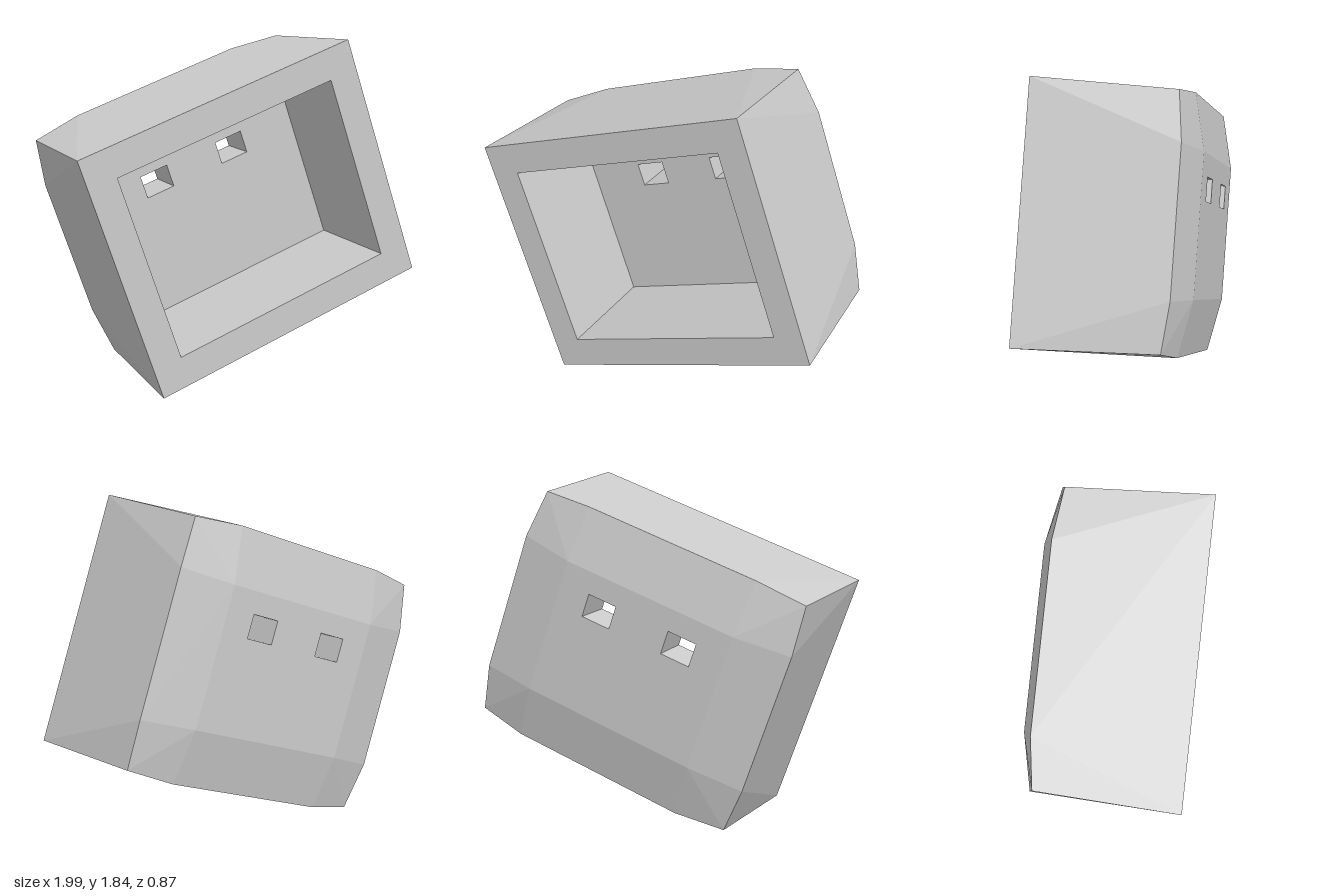
import * as THREE from 'three';

const FRONT = 0.435, FLOOR = -0.2, BACK = -0.435;
const material = new THREE.MeshStandardMaterial({ color: 0xcccccc, flatShading: true });

// corner signs, counter-clockwise seen from the front
const SIGNS = [[1, 1], [-1, 1], [-1, -1], [1, -1]];
const rect = (w, h, cx = 0, cy = 0) => SIGNS.map(([x, y]) => [cx + x * w, cy + y * h]);

// half sizes
const OUTER = rect(0.815, 0.692);
const OPENING = rect(0.65, 0.524);
const PLATEAU = rect(0.502, 0.384);
const HOLES = [-0.244, 0.244].map((x) => rect(0.084, 0.065, x, 0.2));

function addMesh(group, name, geometry) {
  const mesh = new THREE.Mesh(geometry, material);
  mesh.name = name;
  group.add(mesh);
}

// flat faces from convex polygons
function faces(polygons) {
  const pos = [];
  for (const p of polygons) {
    for (let i = 1; i < p.length - 1; i++) pos.push(...p[0], ...p[i], ...p[i + 1]);
  }
  const g = new THREE.BufferGeometry();
  g.setAttribute('position', new THREE.Float32BufferAttribute(pos, 3));
  g.computeVertexNormals();
  return g;
}

// flat panel with rectangular holes, facing front or back
function panel(outline, holes, z, facesBack = false) {
  const toPoints = (r) => r.map(([x, y]) => new THREE.Vector2(x, y));
  const shape = new THREE.Shape(toPoints(outline));
  shape.holes = holes.map((h) => new THREE.Path(toPoints(h)));
  const g = new THREE.ShapeGeometry(shape);
  if (facesBack) g.rotateY(Math.PI);
  return g.translate(0, 0, z);
}

// inward-facing walls of a rectangular recess
function recess(r, z0, z1) {
  return faces(r.map((a, i) => {
    const b = r[(i + 1) % 4];
    return [[...a, z0], [...b, z0], [...b, z1], [...a, z1]];
  }));
}

export function createModel() {
  const model = new THREE.Group();
  const housing = new THREE.Group();
  housing.name = 'housing';
  housing.rotation.z = 0.3337;
  housing.position.y = 0.922;
  model.add(housing);

  // outer walls and bevelled back, one side at a time
  const walls = [], bevels = [];
  const front = (i) => [...OUTER[i], FRONT];
  const corner = (i) => [OUTER[i][0] * 0.957, OUTER[i][1] * 0.957, -0.335];
  const inner = (i) => [...PLATEAU[i], BACK];
  for (let i = 0; i < 4; i++) {
    const j = (i + 1) % 4;
    const edge = (k) => (i % 2 === 0
      ? [PLATEAU[k][0], OUTER[k][1] * 0.994, -0.37]
      : [OUTER[k][0] * 0.994, PLATEAU[k][1] * 1.03, -0.37]);
    const a = edge(i), b = edge(j);
    walls.push([front(i), corner(i), a], [front(i), a, b, front(j)], [b, corner(j), front(j)]);
    bevels.push([corner(i), inner(i), a], [a, inner(i), inner(j), b], [b, inner(j), corner(j)]);
  }
  addMesh(housing, 'outerWalls', faces(walls));
  addMesh(housing, 'backBevel', faces(bevels));

  // front rim, back panel and open compartment
  addMesh(housing, 'frontRim', panel(OUTER, [OPENING], FRONT));
  addMesh(housing, 'backPanel', panel(PLATEAU, HOLES, BACK, true));
  addMesh(housing, 'compartmentWalls', recess(OPENING, FRONT, FLOOR));
  addMesh(housing, 'compartmentFloor', panel(OPENING, HOLES, FLOOR));

  // square through-holes
  for (const hole of HOLES) addMesh(housing, 'throughHole', recess(hole, FLOOR, BACK));

  return model;
}
